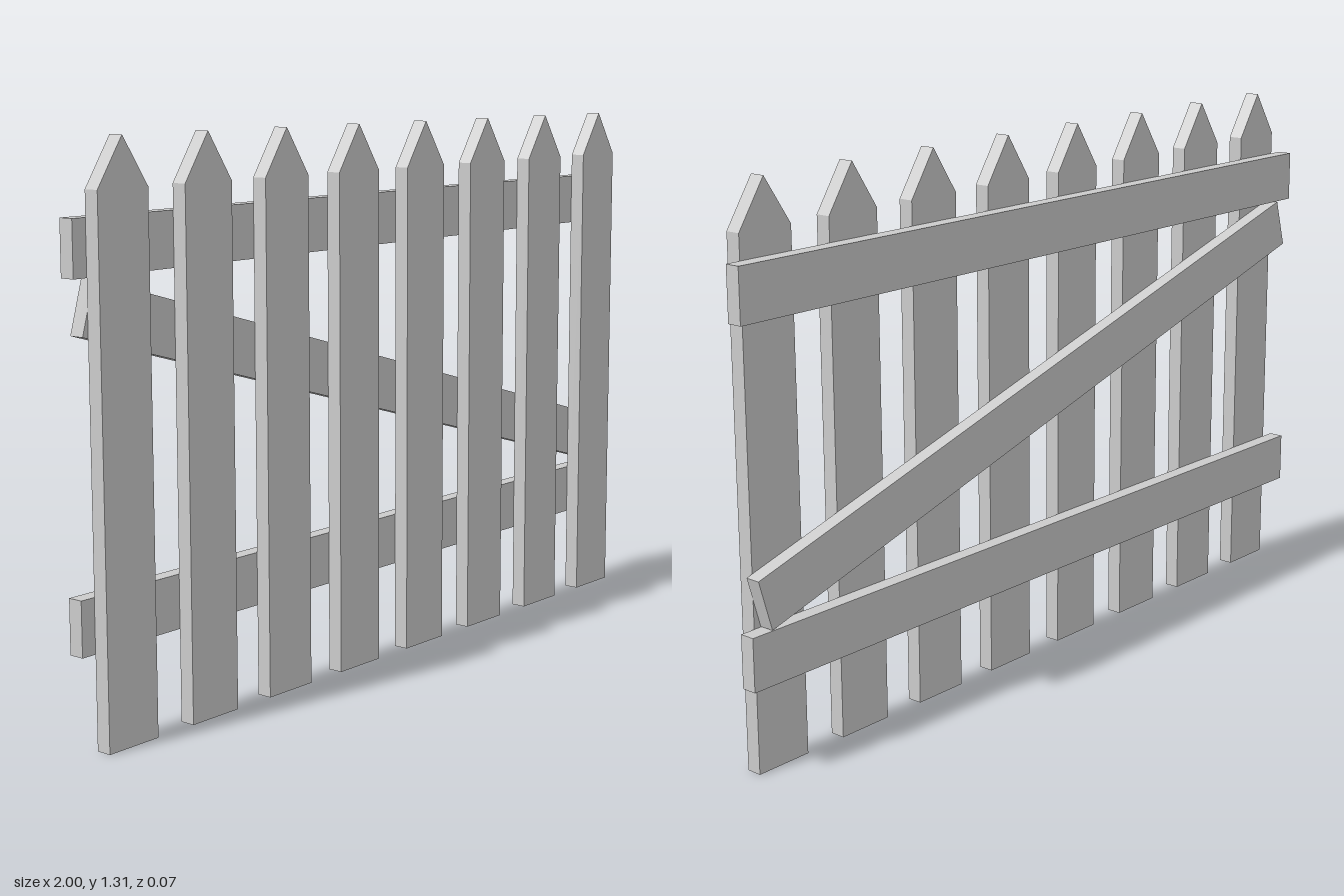
import * as THREE from 'three';

const THICKNESS = 0.037;
const BOARD_WIDTH = 0.125;

export function createModel() {
  const fence = new THREE.Group();
  fence.name = 'picketFence';
  const wood = new THREE.MeshStandardMaterial({ color: 0xcccccc });

  const add = (name, geometry, x, y, z) => {
    const mesh = new THREE.Mesh(geometry, wood);
    mesh.name = name;
    mesh.position.set(x, y, z);
    fence.add(mesh);
    return mesh;
  };

  // Upright pickets with pointed tops, in front of the rails
  const half = 0.0725;
  const outline = new THREE.Shape([
    new THREE.Vector2(-half, 0),
    new THREE.Vector2(half, 0),
    new THREE.Vector2(half, 1.2),
    new THREE.Vector2(0, 1.31),
    new THREE.Vector2(-half, 1.2),
  ]);
  const picketGeometry = new THREE.ExtrudeGeometry(outline, { depth: THICKNESS, bevelEnabled: false });
  const count = 8;
  for (let i = 0; i < count; i++) {
    add(`picket${i + 1}`, picketGeometry, THREE.MathUtils.lerp(-0.89, 0.89, i / (count - 1)), 0, 0);
  }

  // Two rails and a slanted brace behind the pickets
  const boardGeometry = new THREE.BoxGeometry(2, BOARD_WIDTH, THICKNESS);
  add('lowerRail', boardGeometry, 0, 0.277, -THICKNESS / 2);
  add('upperRail', boardGeometry, 0, 1.08, -THICKNESS / 2);
  const brace = add('diagonalBrace', boardGeometry, 0, 0.678, -THICKNESS / 2);
  brace.rotation.z = THREE.MathUtils.degToRad(-16.1);

  return fence;
}
